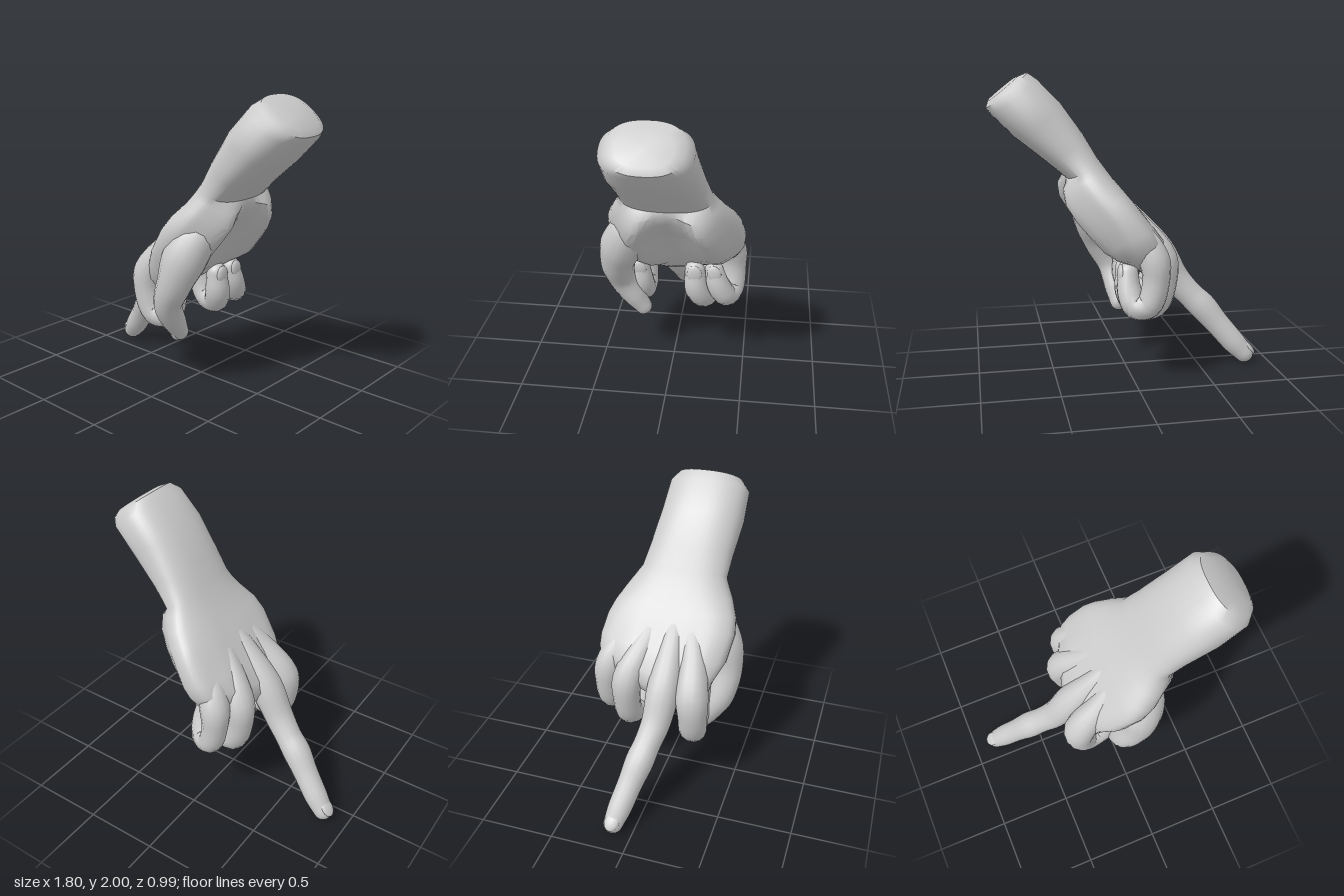
import * as THREE from 'three';
import { toCreasedNormals } from 'three/addons/utils/BufferGeometryUtils.js';

const V = (x, y, z) => new THREE.Vector3(x, y, z);
const material = new THREE.MeshStandardMaterial({ color: 0xcccccc });

// Closed skin through a list of rings with equal point counts
function loft(rings) {
  const n = rings[0].length, m = rings.length, pos = [], idx = [];
  rings.forEach(r => r.forEach(p => pos.push(p.x, p.y, p.z)));
  for (const r of [rings[0], rings[m - 1]]) {
    const c = V(0, 0, 0);
    r.forEach(p => c.addScaledVector(p, 1 / n));
    pos.push(c.x, c.y, c.z);
  }
  for (let j = 0; j < n; j++) {
    const k = (j + 1) % n, last = (m - 1) * n;
    for (let i = 0; i < m - 1; i++) {
      const a = i * n + j, b = i * n + k, c = a + n, d = b + n;
      idx.push(a, b, d, a, d, c);
    }
    idx.push(m * n, k, j, m * n + 1, last + j, last + k);
  }
  const g = new THREE.BufferGeometry();
  g.setAttribute('position', new THREE.Float32BufferAttribute(pos, 3));
  g.setIndex(idx);
  g.computeVertexNormals();
  return g;
}

function mesh(name, geometry) {
  const m = new THREE.Mesh(geometry, material);
  m.name = name;
  return m;
}

// Round limb along points [x, y, z, radius], rounded tip, optional nail at an angle round the limb
function limb(name, pts, nailAngle) {
  const group = new THREE.Group();
  group.name = name;
  const path = new THREE.CatmullRomCurve3(pts.map(p => V(p[0], p[1], p[2])), false, 'centripetal');
  const radii = new THREE.CatmullRomCurve3(pts.map(p => V(p[3], 0, 0)), false, 'catmullrom', 0.4);
  const steps = (pts.length - 1) * 5, sides = 14, rings = [];
  let S, B, T, c, r;
  const ring = (center, radius) => rings.push(Array.from({ length: sides }, (_, j) => {
    const a = j / sides * Math.PI * 2;
    return center.clone().addScaledVector(S, Math.cos(a) * radius).addScaledVector(B, Math.sin(a) * radius);
  }));
  for (let i = 0; i <= steps; i++) {
    const t = i / steps;
    c = path.getPoint(t);
    r = radii.getPoint(t).x;
    T = path.getTangent(t);
    S = V(0, 0, 1).addScaledVector(T, -T.z).normalize();
    B = T.clone().cross(S);
    ring(c, r);
  }
  for (const a of [0.35, 0.7, 1.05, 1.35]) {
    ring(c.clone().addScaledVector(T, Math.sin(a) * r), Math.cos(a) * r);
  }
  group.add(mesh(name + 'Skin', loft(rings)));
  if (nailAngle !== undefined) {
    const up = S.clone().multiplyScalar(Math.cos(nailAngle)).addScaledVector(B, Math.sin(nailAngle));
    const nail = mesh(name + 'Nail', new THREE.SphereGeometry(1, 14, 10));
    nail.scale.set(r * 0.76, r * 0.34, r * 1.0);
    nail.quaternion.setFromRotationMatrix(new THREE.Matrix4().makeBasis(up.clone().cross(T), up, T));
    nail.position.copy(c).addScaledVector(up, r * 0.74).addScaledVector(T, -r * 0.15);
    group.add(nail);
  }
  return group;
}

// Forearm and palm: [back x, back y, palm x, palm y, z min, z max, knuckle slant, pad height]
const sections = [
  [0.70, 1.965, 0.885, 1.815, -0.10, 0.23, 0, 0],
  [0.63, 1.995, 0.90, 1.77, -0.16, 0.29, 0, 0],
  [0.57, 1.955, 0.87, 1.73, -0.205, 0.34, 0, 0],
  [0.42, 1.80, 0.72, 1.58, -0.22, 0.345, 0, 0],
  [0.28, 1.60, 0.52, 1.42, -0.25, 0.32, 0, 0],
  [0.20, 1.46, 0.40, 1.32, -0.28, 0.31, 0, 0],
  [0.15, 1.39, 0.40, 1.29, -0.32, 0.33, 0, 0.06],
  [0.10, 1.32, 0.36, 1.22, -0.37, 0.37, 0, 0.10],
  [0.03, 1.235, 0.27, 1.125, -0.425, 0.415, 0.02, 0.12],
  [-0.04, 1.15, 0.195, 1.035, -0.46, 0.43, 0.05, 0.12],
  [-0.165, 0.99, 0.095, 0.875, -0.485, 0.40, 0.15, 0.09],
  [-0.26, 0.87, 0.015, 0.765, -0.48, 0.335, 0.28, 0.05],
  [-0.29, 0.785, -0.06, 0.68, -0.45, 0.31, 0.35, 0],
  [-0.26, 0.71, -0.12, 0.64, -0.39, 0.26, 0.35, 0],
  [-0.22, 0.68, -0.15, 0.64, -0.30, 0.17, 0.35, 0],
];

// The palm side swells into two pads with a crease between; the back has faint tendon ridges
function armAndPalm() {
  const sides = 44;
  return loft(sections.map(([bx, by, px, py, z0, z1, slant, pad]) => {
    const power = v => Math.sign(v) * Math.abs(v) ** (slant ? 0.68 : 0.8);
    return Array.from({ length: sides }, (_, j) => {
      const a = j / sides * Math.PI * 2, h = power(Math.sin(a)) / 2, u = power(Math.cos(a));
      const z = (z0 + z1) / 2 + (z1 - z0) / 2 * u;
      const shift = slant * Math.max(0, -z);
      const swell = h < 0 ? pad * Math.sin(Math.PI * Math.abs(u) ** 1.3) ** 2
        : -0.06 * slant * h * (1 - Math.cos(2 * Math.PI * (u - 0.12) / 0.57));
      return V((bx + px) / 2 + (bx - px) * h + 0.64 * shift + 0.77 * Math.abs(swell),
        (by + py) / 2 + (by - py) * h + 0.77 * shift - 0.64 * Math.abs(swell), z);
    });
  }));
}

export function createModel() {
  const hand = new THREE.Group();
  hand.name = 'pointingHand';
  hand.add(mesh('forearmAndPalm', toCreasedNormals(armAndPalm(), 0.75)));

  // Each finger begins as a tendon ridge on the back of the hand
  const back = Math.PI / 2;
  hand.add(limb('indexFinger', [
    [0.15, 1.25, 0.10, 0.05], [-0.065, 1.0, 0.19, 0.083], [-0.25, 0.77, 0.235, 0.11],
    [-0.265, 0.62, 0.245, 0.1], [-0.21, 0.475, 0.235, 0.095], [-0.10, 0.475, 0.225, 0.085],
    [-0.04, 0.57, 0.23, 0.082], [-0.025, 0.71, 0.24, 0.064]], back));
  hand.add(limb('middleFinger', [
    [0.15, 1.25, 0.03, 0.05], [-0.065, 1.02, 0.04, 0.083], [-0.24, 0.79, 0.035, 0.112],
    [-0.36, 0.59, 0.02, 0.1], [-0.46, 0.475, -0.01, 0.092], [-0.545, 0.39, -0.035, 0.097],
    [-0.645, 0.27, -0.07, 0.085], [-0.75, 0.145, -0.105, 0.081], [-0.825, 0.063, -0.128, 0.067]], back));
  hand.add(limb('ringFinger', [
    [0.15, 1.25, -0.06, 0.05], [-0.045, 1.02, -0.145, 0.083], [-0.2, 0.80, -0.23, 0.104],
    [-0.21, 0.64, -0.24, 0.094], [-0.155, 0.485, -0.235, 0.092], [-0.045, 0.475, -0.205, 0.088],
    [0.01, 0.57, -0.16, 0.087], [0.015, 0.71, -0.145, 0.07]], back));
  hand.add(limb('littleFinger', [
    [0.17, 1.24, -0.16, 0.05], [0.0, 1.02, -0.3, 0.083], [-0.115, 0.83, -0.39, 0.1],
    [-0.125, 0.68, -0.405, 0.088], [-0.08, 0.53, -0.4, 0.084], [0.0, 0.515, -0.365, 0.08],
    [0.03, 0.61, -0.31, 0.08], [0.03, 0.725, -0.28, 0.065]], back));
  hand.add(limb('thumb', [
    [0.22, 1.2, 0.19, 0.09], [0.195, 1.08, 0.27, 0.135], [0.15, 0.94, 0.335, 0.145],
    [0.105, 0.79, 0.372, 0.118], [0.03, 0.62, 0.36, 0.096], [0.01, 0.48, 0.285, 0.082],
    [0.0, 0.38, 0.22, 0.062]], 0.45));

  // Skin web between thumb and index finger
  hand.add(limb('thumbWeb', [
    [0.1, 1.1, 0.27, 0.1], [0.03, 0.98, 0.285, 0.11], [0.01, 0.91, 0.28, 0.08]]));
  return hand;
}
